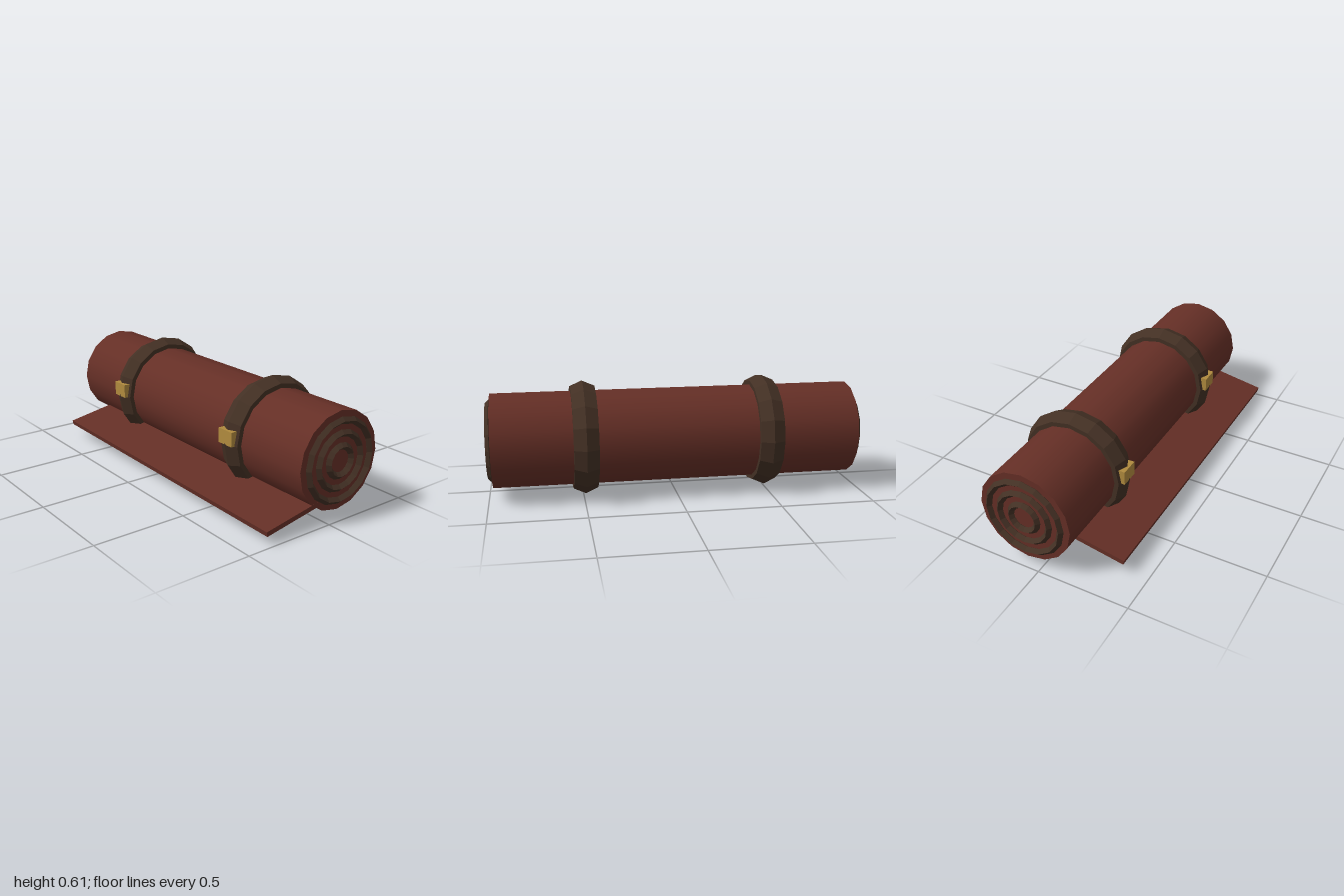
import * as THREE from 'three';

const AXIS_Y = 0.308, AXIS_Z = -0.071;

export function createModel() {
  const model = new THREE.Group();
  const cloth = new THREE.MeshStandardMaterial({ color: 0x652f26 });
  const leather = new THREE.MeshStandardMaterial({ color: 0x433024 });
  const brass = new THREE.MeshStandardMaterial({ color: 0xb08a3e });

  const add = (parent, name, geometry, material, x = 0, y = 0, z = 0) => {
    const mesh = new THREE.Mesh(geometry, material);
    mesh.name = name;
    mesh.position.set(x, y, z);
    parent.add(mesh);
    return mesh;
  };

  // Faceted ring around the x axis, stretched along it
  const ring = (radius, tube, sides, halfWidth) => {
    const g = new THREE.TorusGeometry(radius, tube, sides, 16);
    g.scale(1, 1, halfWidth / (tube * Math.sin(sides === 6 ? Math.PI / 3 : Math.PI / 2)));
    g.rotateY(Math.PI / 2);
    const flat = g.toNonIndexed();
    flat.computeVertexNormals();
    return flat;
  };

  // Rolled cloth
  const roll = new THREE.Group();
  roll.name = 'bedroll';
  roll.position.set(0, AXIS_Y, AXIS_Z);
  model.add(roll);
  const body = new THREE.CylinderGeometry(0.253, 0.253, 1.95, 16);
  body.rotateZ(Math.PI / 2);
  add(roll, 'rolledCloth', body, cloth);

  for (const side of [1, -1]) {
    const label = side > 0 ? 'left' : 'right';

    // Concentric layer edges on the end
    [0.075, 0.14, 0.204].forEach((radius, i) => {
      add(roll, `${label}LayerRing${i + 1}`, ring(radius, 0.0185, 4, 0.02), leather, side * 0.98);
    });

    // Strap and buckle
    add(roll, `${label}Strap`, ring(0.249, 0.057, 6, 0.065), leather, side * 0.49);
    add(model, `${label}Buckle`, new THREE.BoxGeometry(0.1, 0.077, 0.04), brass, side * 0.49, 0.347, 0.2125);
  }

  // Loose flap, sloping forward and a little sideways
  const flap = new THREE.BoxGeometry(1.795, 0.025, 0.34);
  flap.translate(0, 0, -0.17);
  const loose = add(model, 'looseFlap', flap, cloth, 0.078, 0.069, 0.376);
  loose.rotation.set(0.18, 0, -0.013);

  return model;
}
